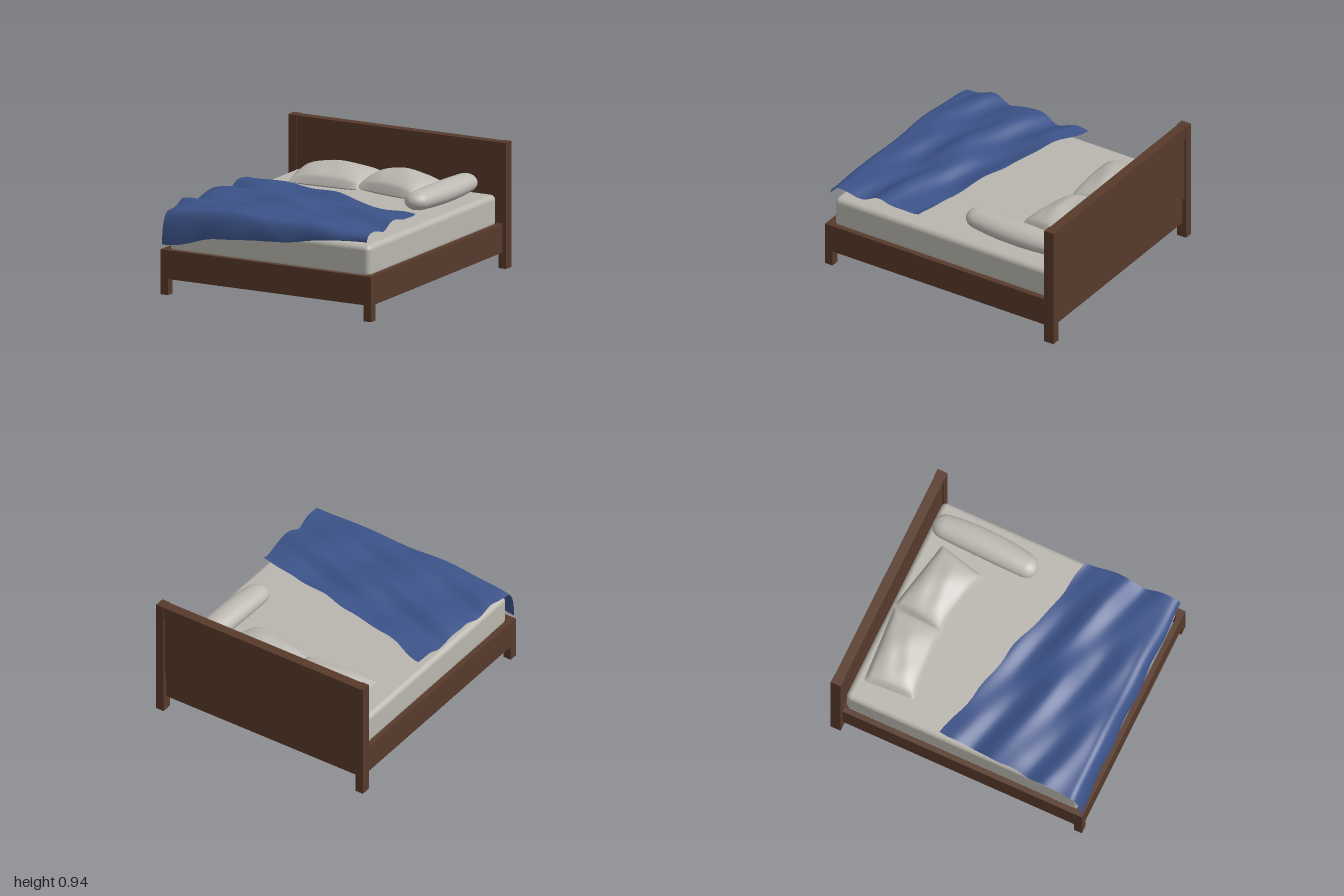
import * as THREE from 'three';
import { mergeGeometries } from 'three/addons/utils/BufferGeometryUtils.js';
import { RoundedBoxGeometry } from 'three/addons/geometries/RoundedBoxGeometry.js';

const { lerp, smoothstep, clamp } = THREE.MathUtils;

// Linear lookup through a few [x, value] points
function linear(points, x) {
  let i = 0;
  while (i < points.length - 2 && x > points[i + 1][0]) i++;
  const [a, b] = [points[i], points[i + 1]];
  return lerp(a[1], b[1], clamp((x - a[0]) / (b[0] - a[0]), 0, 1));
}

// The same lookup with its corners softened
const profile = (points, x) =>
  [-0.07, -0.035, 0, 0.035, 0.07].reduce((sum, d) => sum + linear(points, x + d) / 5, 0);

// Flat grid over s, t in -1..1, facing up or down, moved by a rule
function sheet(nx, nz, up, rule) {
  const geo = new THREE.PlaneGeometry(2, 2, nx, nz).rotateX(up ? -Math.PI / 2 : Math.PI / 2);
  const p = geo.attributes.position;
  for (let i = 0; i < p.count; i++) p.setXYZ(i, ...rule(p.getX(i), p.getZ(i)));
  geo.computeVertexNormals();
  return geo;
}

export function createModel() {
  const model = new THREE.Group();
  model.name = 'bed';

  const material = (name, color, side = THREE.FrontSide) => {
    const m = new THREE.MeshStandardMaterial({ color, side });
    m.name = name;
    return m;
  };
  const wood = material('dark wood', 0x573a2b);
  const linen = material('mattress linen', 0xb9b6ae, THREE.DoubleSide);
  const cotton = material('pillow cotton', 0xbcb9b2);
  const blue = material('blue wool', 0x3c5389, THREE.DoubleSide);

  const add = (name, geo, mat) => {
    const mesh = new THREE.Mesh(geo, mat);
    mesh.name = name;
    model.add(mesh);
  };
  // Box given by its two extreme corners
  const box = (name, x0, x1, y0, y1, z0, z1) =>
    add(name, new THREE.BoxGeometry(x1 - x0, y1 - y0, z1 - z0)
      .translate((x0 + x1) / 2, (y0 + y1) / 2, (z0 + z1) / 2), wood);

  // Posts, legs and side rails, mirrored
  for (const [side, s] of [['left', 1], ['right', -1]]) {
    const pair = (name, a, b, ...rest) =>
      box(side + name, Math.min(s * a, s * b), Math.max(s * a, s * b), ...rest);
    pair('HeadPost', 0.845, 0.91, 0, 0.94, -1, -0.92);
    pair('FrontLeg', 0.815, 0.88, 0, 0.335, 0.935, 1);
    pair('SideRail', 0.837, 0.88, 0.12, 0.335, -0.92, 0.935);
  }
  // Headboard and foot rail
  box('headboardTopRail', -0.845, 0.845, 0.845, 0.937, -0.997, -0.923);
  box('headboardPanel', -0.845, 0.845, 0.335, 0.845, -0.985, -0.93);
  box('headboardLowerRail', -0.845, 0.845, 0.12, 0.335, -0.97, -0.92);
  box('footRail', -0.815, 0.815, 0.12, 0.335, 0.96, 1);

  // Mattress: a rounded shell, open underneath
  const shell = new RoundedBoxGeometry(1.674, 0.24, 1.87, 5, 0.04).translate(0, 0.43, 0.017);
  shell.groups = shell.groups.filter((g) => g.materialIndex !== 3);
  add('mattress', shell, Array(6).fill(linen));

  // Pillows: two bulging sheets meeting at a seam, over four corners [x, z]
  const pillow = (name, [bl, br, fr, fl], seam, height) => {
    const half = (up) => sheet(28, 20, up, (s, t) => {
      const edge = (1 - s * s) * (1 - t * t);
      const u = (s * (1 - 0.01 * (1 - t * t)) + 1) / 2;
      const v = (t * (1 - 0.01 * (1 - s * s)) + 1) / 2;
      const at = (k) => lerp(lerp(bl[k], br[k], u), lerp(fl[k], fr[k], u), v);
      const bulge = Math.pow(edge, 0.42);
      const crease = 0.009 * edge * Math.sin(4 * s + 2 * t) * Math.cos(5 * t - s);
      const tilt = seam - 0.02 * t;
      return [at(0), tilt + (up ? height * bulge + crease : -0.035 * bulge), at(1)];
    });
    add(name, mergeGeometries([half(true), half(false)]), cotton);
  };
  pillow('rightPillow', [[-0.69, -0.84], [-0.07, -0.885], [-0.07, -0.49], [-0.65, -0.455]], 0.582, 0.105);
  pillow('leftPillow', [[-0.07, -0.89], [0.5, -0.77], [0.42, -0.4], [-0.11, -0.505]], 0.588, 0.115);

  // Bolster: lathed, flattened and slightly bent
  const halfProfile = [[0, 0.42], [0.035, 0.415], [0.062, 0.398], [0.083, 0.37], [0.094, 0.33], [0.103, 0.2], [0.107, 0.08]];
  const outline = [
    ...halfProfile.map(([r, y]) => new THREE.Vector2(r, -y)),
    ...halfProfile.slice().reverse().map(([r, y]) => new THREE.Vector2(r, y)),
  ];
  const bolster = new THREE.LatheGeometry(outline, 32).rotateX(Math.PI / 2).scale(1, 0.75, 1);
  const bp = bolster.attributes.position;
  for (let i = 0; i < bp.count; i++) {
    const z = bp.getZ(i);
    bp.setX(i, bp.getX(i) + 0.632 - 0.03 * z - 0.1 * z * z);
  }
  add('bolster', bolster.translate(0, 0.635, -0.48), cotton);

  // Blanket: rippled across the mattress, then hanging over the foot
  const backEdge = [[-0.83, -0.175], [-0.72, -0.145], [-0.53, -0.06], [-0.4, -0.055], [-0.15, 0.02], [0, 0.025], [0.2, 0.11], [0.35, 0.14], [0.57, 0.2], [0.68, 0.195], [0.82, 0.24]];
  const hem = [[-0.88, 0.365], [-0.7, 0.385], [-0.5, 0.455], [-0.2, 0.48], [0.2, 0.51], [0.4, 0.55], [0.6, 0.575], [0.83, 0.585]];
  const height = (x, z) => {
    const d = z - 0.22 * x;
    const calm = 1 - 0.6 * smoothstep(z, 0.65, 0.95);
    const swell = 0.036 * Math.exp(-5 * (x + 0.28) ** 2 - 6 * (z - 0.5) ** 2)
      + 0.02 * Math.exp(-5 * (x - 0.4) ** 2 - 8 * (z - 0.5) ** 2);
    return 0.64 + swell + calm * (0.022 * Math.sin(15 * d + 1.2 * Math.sin(2.5 * x) + 1.5)
      + 0.01 * Math.sin(9 * x + 5 * z) + 0.007 * Math.sin(27 * d - 4 * x));
  };
  add('blanket', sheet(70, 80, true, (s, t) => {
    const x0 = s * 0.82;
    const v = (t + 1) / 2;
    const flat = Math.min(v / 0.66, 1);
    const z = lerp(profile(backEdge, x0), 0.88, flat);
    const x = x0 + (s < 0 ? 0.06 : 0.01) * flat * s + 0.008 * s ** 8 * Math.sin(17 * z);
    const y = height(x, z) - (s < 0 ? 0.035 * s ** 10 * flat : 0);
    if (v <= 0.66) return [x, y, z];
    // Rounded fall over the foot end
    const a = ((v - 0.66) / 0.34) * Math.PI / 2;
    const drop = 1 - Math.cos(a);
    const ripple = 0.006 * Math.sin(14 * x) * drop;
    return [x, lerp(y, profile(hem, x), drop), 0.88 + 0.105 * Math.pow(Math.sin(a), 0.7) + ripple];
  }), blue);

  return model;
}
